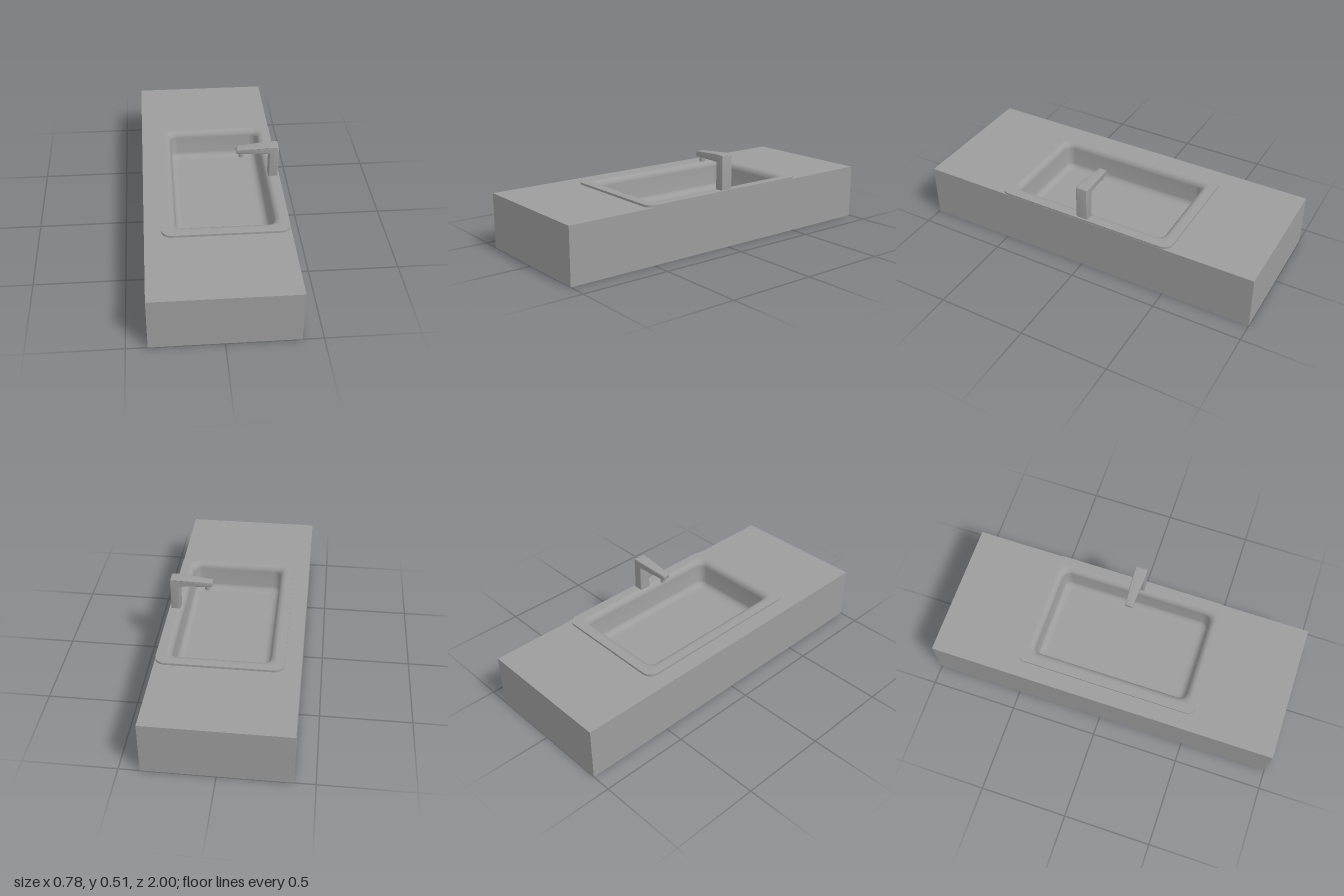
import * as THREE from 'three';
import { toCreasedNormals } from 'three/addons/utils/BufferGeometryUtils.js';

const material = new THREE.MeshStandardMaterial({ color: 0x9c9c9c, side: THREE.DoubleSide });
const TOP = 0.308, RIM = 0.32, FLOOR = 0.15;
const CX = 0.045, HALF_X = 0.343, HALF_Z = 0.528; // rim centre and half sizes

function addMesh(group, name, geometry, x = 0, y = 0, z = 0) {
  const mesh = new THREE.Mesh(geometry, material);
  mesh.name = name;
  mesh.position.set(x, y, z);
  group.add(mesh);
}

// Rounded rectangle in plan, inset from the rim outline, counterclockwise
function ring(inset, radius, steps = 8) {
  const points = [];
  const hx = HALF_X - inset - radius, hz = HALF_Z - inset - radius;
  [[1, 1], [-1, 1], [-1, -1], [1, -1]].forEach(([sx, sy], corner) => {
    for (let i = 0; i <= steps; i++) {
      const a = (corner + i / steps) * Math.PI / 2;
      points.push(new THREE.Vector2(CX + sx * hx + radius * Math.cos(a), sy * hz + radius * Math.sin(a)));
    }
  });
  return points;
}

// Basin: flat rim, rolled lip, upright walls and coved floor, lofted from rings
function basinGeometry() {
  const section = [[0.07, TOP], [0, TOP], [0, RIM], [0.035, RIM], [0.045, RIM]];
  const steps = 7, lip = 0.035, cove = 0.04;
  for (let i = 1; i <= steps; i++) {
    const a = i / steps * Math.PI / 2;
    section.push([0.045 + lip * Math.sin(a), RIM - lip * (1 - Math.cos(a))]);
  }
  for (let i = 0; i <= steps; i++) {
    const a = i / steps * Math.PI / 2;
    section.push([0.082 + cove * (1 - Math.cos(a)), FLOOR + cove * (1 - Math.sin(a))]);
  }
  section.push([0.135, FLOOR]);
  const positions = [], index = [];
  let n = 0;
  section.forEach(([inset, y], j) => {
    const points = ring(inset, Math.max(0.03, 0.055 - inset * 0.15));
    n = points.length;
    points.forEach(p => positions.push(p.x, y, -p.y));
    if (j === 0) return;
    for (let i = 0; i < n; i++) {
      const k = (i + 1) % n, a = (j - 1) * n, b = j * n;
      index.push(a + i, a + k, b + k, a + i, b + k, b + i);
    }
  });
  // Close the floor with a fan
  const centre = positions.length / 3, last = centre - n;
  positions.push(CX, FLOOR, 0);
  for (let i = 0; i < n; i++) index.push(last + i, last + (i + 1) % n, centre);
  const geometry = new THREE.BufferGeometry();
  geometry.setAttribute('position', new THREE.Float32BufferAttribute(positions, 3));
  geometry.setIndex(index);
  return toCreasedNormals(geometry, 0.7);
}

// Counter top part with the basin cut-out
function counterGeometry(height) {
  const shape = new THREE.Shape();
  shape.moveTo(-0.389, -1).lineTo(0.389, -1).lineTo(0.389, 1).lineTo(-0.389, 1).closePath();
  shape.holes.push(new THREE.Path(ring(0.063, 0.05)));
  return new THREE.ExtrudeGeometry(shape, { depth: height, bevelEnabled: false }).rotateX(-Math.PI / 2);
}

// Tap: side profile of post and arm, narrowed towards the spout
function tapGeometry() {
  const s = new THREE.Shape();
  s.moveTo(0.326, RIM - 0.005).lineTo(0.378, RIM - 0.005).lineTo(0.378, 0.505);
  s.quadraticCurveTo(0.378, 0.514, 0.369, 0.514).lineTo(0.328, 0.514);
  s.lineTo(0.15, 0.5).quadraticCurveTo(0.14, 0.499, 0.14, 0.489);
  s.lineTo(0.14, 0.48).quadraticCurveTo(0.14, 0.47, 0.15, 0.47);
  s.lineTo(0.326, 0.47).closePath();
  const bevel = 0.005, half = 0.034;
  const geometry = new THREE.ExtrudeGeometry(s, {
    depth: 2 * (half - bevel), bevelThickness: bevel, bevelSize: bevel, bevelOffset: -bevel,
    bevelSegments: 6, curveSegments: 6
  }).translate(0, 0, bevel - half);
  const p = geometry.attributes.position;
  for (let i = 0; i < p.count; i++) {
    const t = THREE.MathUtils.clamp((p.getX(i) - 0.14) / 0.186, 0, 1);
    p.setZ(i, p.getZ(i) * THREE.MathUtils.lerp(0.62, 1, t));
  }
  return toCreasedNormals(geometry, 0.6);
}

export function createModel() {
  const model = new THREE.Group();
  model.name = 'washbasin';

  // Counter: solid base slab and cut-out upper block
  const slab = 0.1;
  const counter = new THREE.Group();
  counter.name = 'counter';
  addMesh(counter, 'counterBase', new THREE.BoxGeometry(0.778, slab, 2), 0, slab / 2, 0);
  addMesh(counter, 'counterTop', counterGeometry(TOP - slab), 0, slab, 0);
  model.add(counter);

  addMesh(model, 'basin', basinGeometry());

  // Tap with a round outlet under the arm
  const tap = new THREE.Group();
  tap.name = 'tap';
  addMesh(tap, 'tapBody', tapGeometry());
  addMesh(tap, 'tapOutlet', new THREE.CylinderGeometry(0.015, 0.015, 0.032, 24), 0.169, 0.459, 0);
  model.add(tap);

  return model;
}
